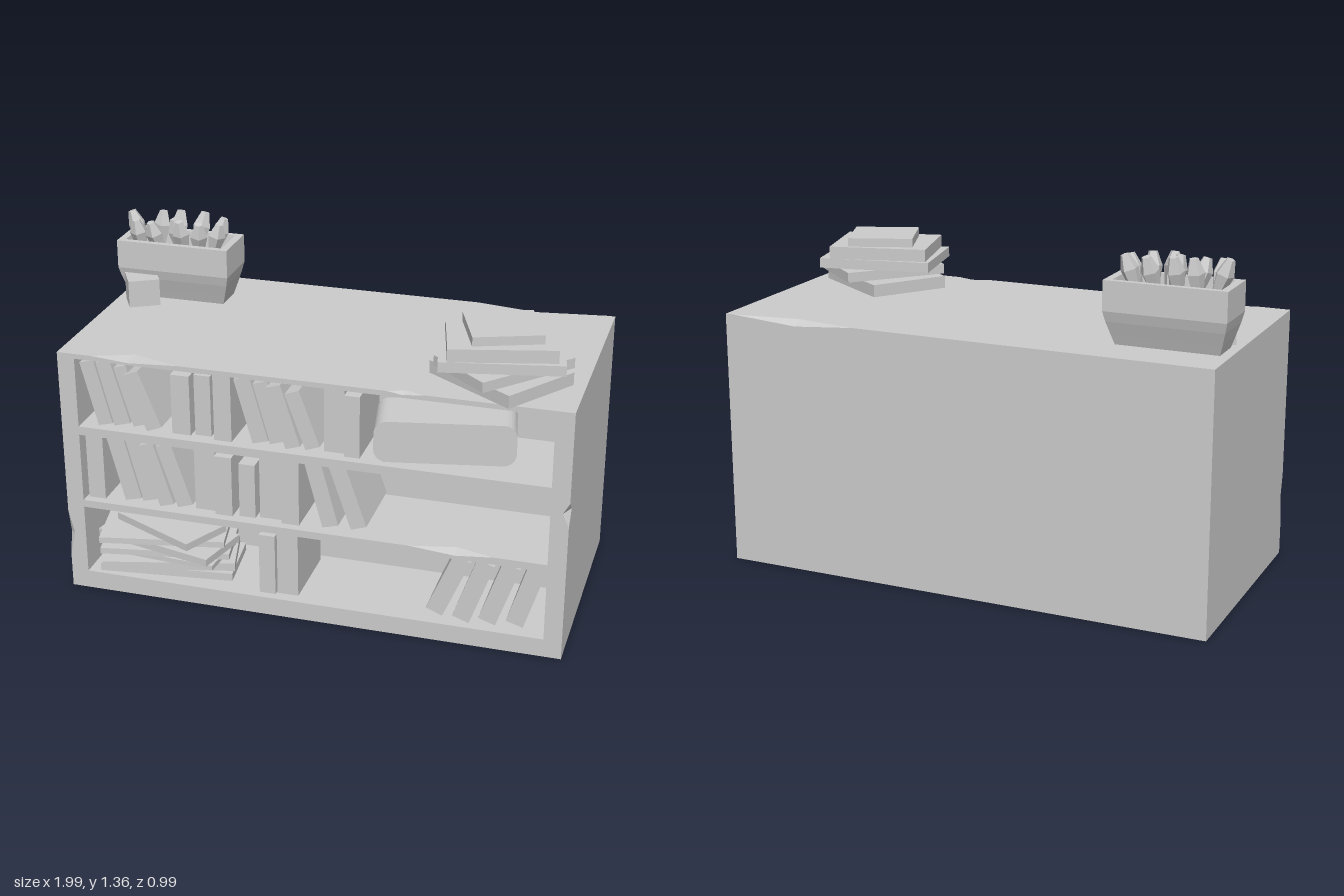
import * as THREE from 'three';

const mat = new THREE.MeshStandardMaterial({ color: 0xcccccc, flatShading: true });
const thin = new THREE.MeshStandardMaterial({ color: 0xcccccc, flatShading: true, side: THREE.DoubleSide });
const X0 = -0.99, X1 = 1, H = 1.02, Z0 = -0.5, Z1 = 0.46, BACK = 0.08;
const IN0 = -0.92, IN1 = 0.93;

export function createModel() {
  const root = new THREE.Group();
  const group = (name) => {
    const g = new THREE.Group();
    g.name = name;
    root.add(g);
    return g;
  };
  const add = (parent, name, geo, material = mat) => {
    const m = new THREE.Mesh(geo, material);
    m.name = name;
    parent.add(m);
    return m;
  };
  const path = (pts) => pts.map(([x, y]) => new THREE.Vector2(x, y));
  // Flat panel drawn in its own plane, then turned and moved into place
  const panel = (parent, name, pts, holes, rx, ry, pos) => {
    const shape = new THREE.Shape(path(pts));
    holes.forEach((h) => shape.holes.push(new THREE.Path(path(h))));
    const m = add(parent, name, new THREE.ShapeGeometry(shape), thin);
    m.rotation.set(rx, ry, 0);
    m.position.set(...pos);
  };
  const rect = (a, b, c, d) => [[a, b], [c, b], [c, d], [a, d]];
  // Chipped edge: two facets between edge points a, b and inset points c, d
  const chip = (parent, a, b, c, d) => {
    const g = new THREE.BufferGeometry();
    g.setAttribute('position', new THREE.Float32BufferAttribute([a, c, d, b, d, c].flat(), 3));
    g.computeVertexNormals();
    add(parent, 'chip', g, thin);
  };

  // Outer cabinet with chipped edges
  const cab = group('cabinet');
  const bays = [[0.075, 0.365], [0.395, 0.68], [0.715, 1.0]];
  const holes = bays.map(([y0, y1]) => rect(IN0, y0, IN1, y1));
  const shelfChip = [[0.4, 0.395], [0.58, 0.38], [0.73, 0.395]];
  holes[1].splice(1, 0, ...shelfChip);
  panel(cab, 'frontFrame', [
    [X0, 0], [X1, 0], [X1, 0.56], [0.975, 0.615], [X1, 0.66], [X1, H],
    [0.45, H], [0.37, 1.011], [0.31, H], [-0.5, H], [-0.7, 1.008], [-0.85, H],
    [X0, H], [X0, 0.34], [-0.967, 0.24], [X0, 0.14],
  ], holes, 0, 0, [0, 0, Z1]);
  panel(cab, 'top', [
    [X0, -Z1], [-0.85, -Z1], [-0.69, -0.4], [-0.5, -Z1], [0.31, -Z1], [0.38, -0.435], [0.45, -Z1],
    [X1, -Z1], [X1, -Z0], [0.97, -Z0], [0.69, 0.46], [0.44, -Z0], [X0, -Z0],
  ], [], -Math.PI / 2, 0, [0, H, 0]);
  panel(cab, 'rightFace', [[-Z1, 0], [-Z0, 0], [-Z0, H], [-Z1, H], [-Z1, 0.66], [-0.415, 0.62], [-Z1, 0.56]],
    [], 0, Math.PI / 2, [X1, 0, 0]);
  panel(cab, 'leftFace', [[Z0, 0], [Z1, 0], [Z1, 0.14], [0.44, 0.24], [Z1, 0.34], [Z1, H], [Z0, H]],
    [], 0, -Math.PI / 2, [X0, 0, 0]);
  panel(cab, 'back', [[-X1, 0], [-X0, 0], [-X0, H], [-0.44, H], [-0.69, 1.0], [-0.97, H], [-X1, H]],
    [], 0, Math.PI, [0, 0, Z0]);
  panel(cab, 'base', rect(X0, Z0, X1, Z1), [], Math.PI / 2, 0, [0, 0, 0]);
  chip(cab, [-0.85, H, Z1], [-0.5, H, Z1], [-0.69, H, 0.4], [-0.7, 1.008, Z1]);
  chip(cab, [0.31, H, Z1], [0.45, H, Z1], [0.38, H, 0.435], [0.37, 1.011, Z1]);
  chip(cab, [0.44, H, Z0], [0.97, H, Z0], [0.69, H, -0.46], [0.69, 1.0, Z0]);
  chip(cab, [X1, 0.56, Z1], [X1, 0.66, Z1], [X1, 0.62, 0.415], [0.975, 0.615, Z1]);
  chip(cab, [X0, 0.14, Z1], [X0, 0.34, Z1], [X0, 0.24, 0.44], [-0.967, 0.24, Z1]);
  chip(cab, [0.4, 0.395, Z1], [0.73, 0.395, Z1], [0.58, 0.395, 0.42], [0.58, 0.38, Z1]);

  // Inside faces of the three shelf bays
  bays.forEach(([y0, y1], i) => {
    const floor = rect(IN0, -Z1, IN1, -BACK);
    if (i === 1) floor.splice(1, 0, [0.4, -Z1], [0.58, -0.42], [0.73, -Z1]);
    panel(cab, 'bayFloor', floor, [], -Math.PI / 2, 0, [0, y0, 0]);
    panel(cab, 'bayCeiling', rect(IN0, BACK, IN1, Z1), [], Math.PI / 2, 0, [0, y1, 0]);
    panel(cab, 'bayBack', rect(IN0, y0, IN1, y1), [], 0, 0, [0, 0, BACK]);
    panel(cab, 'bayLeft', rect(-Z1, y0, -BACK, y1), [], 0, Math.PI / 2, [IN0, 0, 0]);
    panel(cab, 'bayRight', rect(BACK, y0, Z1, y1), [], 0, -Math.PI / 2, [IN1, 0, 0]);
  });

  // Shelved books: [x of the corner on the shelf, width, height, lean]
  const rows = [
    [[-0.205, 0.065, 0.255, 0], [-0.135, 0.085, 0.285, 0], [0.525, 0.07, 0.27, -0.4], [0.635, 0.07, 0.275, -0.34],
      [0.735, 0.07, 0.27, -0.33], [0.84, 0.07, 0.275, -0.3]],
    [[-0.91, 0.07, 0.28, 0], [-0.76, 0.07, 0.275, 0.25], [-0.69, 0.07, 0.27, 0.27], [-0.61, 0.06, 0.265, 0.3],
      [-0.54, 0.065, 0.265, 0.32], [-0.47, 0.085, 0.28, 0], [-0.38, 0.07, 0.25, 0], [-0.285, 0.065, 0.225, 0],
      [-0.205, 0.09, 0.255, 0], [-0.11, 0.07, 0.28, 0], [0.05, 0.065, 0.28, 0.26], [0.16, 0.065, 0.28, 0.33]],
    [[-0.85, 0.06, 0.265, 0.25], [-0.79, 0.07, 0.265, 0.28], [-0.715, 0.055, 0.25, 0.3], [-0.65, 0.065, 0.24, 0.38],
      [-0.55, 0.075, 0.245, 0], [-0.46, 0.065, 0.25, 0], [-0.375, 0.07, 0.275, 0], [-0.225, 0.065, 0.265, 0.27],
      [-0.16, 0.07, 0.25, 0.3], [-0.09, 0.06, 0.255, 0.3], [-0.015, 0.06, 0.235, 0.35], [0.055, 0.08, 0.28, 0],
      [0.14, 0.06, 0.25, 0]],
  ];
  const books = group('shelvedBooks');
  rows.forEach((row, r) => row.forEach(([x, w, h, lean], i) => {
    const depth = 0.28 + 0.02 * (i % 2);
    const geo = new THREE.BoxGeometry(w, h, depth).translate(lean < 0 ? -w / 2 : w / 2, h / 2, -depth / 2);
    const b = add(books, 'book', geo);
    b.position.set(x, bays[r][0], 0.425 - 0.012 * (i % 3));
    b.rotation.z = lean;
  }));

  // Rounded case lying on the upper shelf
  const w = 0.53, h = 0.165, r = 0.05, s = new THREE.Shape();
  [[w - r, r, -Math.PI / 2], [w - r, h - r, 0], [r, h - r, Math.PI / 2], [r, r, Math.PI]]
    .forEach(([x, y, a]) => s.absarc(x, y, r, a, a + Math.PI / 2, false));
  const box = add(root, 'roundedCase', new THREE.ExtrudeGeometry(s, { depth: 0.22, bevelEnabled: false, curveSegments: 4 })
    .translate(0, 0, -0.22));
  box.position.set(0.255, 0.715, 0.435);
  box.rotation.y = 0.2;

  // Loose piles of books: [x, z, bottom, thickness, width, depth, turn]
  const pile = (name, list) => {
    const g = group(name);
    list.forEach(([x, z, y, t, bw, bd, turn]) => {
      const b = add(g, 'book', new THREE.BoxGeometry(bw, t, bd));
      b.position.set(x, y + t / 2, z);
      b.rotation.y = turn;
    });
  };
  pile('lowerPile', [
    [-0.62, 0.28, 0.075, 0.032, 0.54, 0.26, 0.12], [-0.62, 0.3, 0.107, 0.033, 0.53, 0.24, 0.25],
    [-0.62, 0.28, 0.14, 0.02, 0.46, 0.26, -0.08], [-0.63, 0.29, 0.16, 0.025, 0.52, 0.24, 0.18],
    [-0.63, 0.3, 0.185, 0.03, 0.52, 0.24, -0.24], [-0.64, 0.3, 0.215, 0.025, 0.5, 0.24, 0.2],
    [-0.62, 0.29, 0.24, 0.03, 0.4, 0.22, -0.45],
  ]);
  pile('upperPile', [
    [0.685, 0.235, 1.02, 0.05, 0.42, 0.33, -0.6], [0.695, 0.235, 1.07, 0.04, 0.42, 0.3, 0.85],
    [0.685, 0.235, 1.11, 0.04, 0.46, 0.34, 0.2], [0.68, 0.235, 1.15, 0.05, 0.4, 0.32, 0.25],
    [0.685, 0.225, 1.2, 0.035, 0.265, 0.25, 0.36],
  ]);

  // Tapered hollow planter, lofted from rectangles: [y, half width, half depth]
  const rings = [[1.02, 0.2, 0.064], [1.06, 0.212, 0.078], [1.11, 0.226, 0.096], [1.15, 0.235, 0.107],
    [1.265, 0.235, 0.107], [1.265, 0.205, 0.082], [1.2, 0.195, 0.075]];
  const pos = [], idx = [];
  rings.forEach(([y, a, b], k) => {
    pos.push(-a, y, b, a, y, b, a, y, -b, -a, y, -b);
    for (let i = 0; i < 4 && k > 0; i++) {
      const p = (k - 1) * 4 + i, q = (k - 1) * 4 + ((i + 1) % 4);
      idx.push(p, q, q + 4, p, q + 4, p + 4);
    }
  });
  const n = (rings.length - 1) * 4;
  idx.push(0, 2, 1, 0, 3, 2, n, n + 1, n + 2, n, n + 2, n + 3);
  const loft = new THREE.BufferGeometry();
  loft.setAttribute('position', new THREE.Float32BufferAttribute(pos, 3));
  loft.setIndex(idx);
  loft.computeVertexNormals();
  add(root, 'planter', loft).position.set(-0.75, 0, -0.255);

  // Chunky five-sided leaves: [x, z, height, lean along x, lean along z]
  const leafGeo = new THREE.LatheGeometry(path([[0, 0], [0.016, 0], [0.036, 0.65], [0.017, 1], [0, 1]]), 5);
  const leaves = group('leaves');
  [[-0.9, -0.26, 0.17, 0.36, 0], [-0.9, -0.22, 0.15, 0.1, 0.2], [-0.85, -0.28, 0.16, -0.1, -0.1],
    [-0.82, -0.22, 0.15, 0.2, 0.25], [-0.78, -0.28, 0.165, -0.1, -0.2], [-0.74, -0.24, 0.155, 0.15, 0.1],
    [-0.7, -0.29, 0.165, -0.2, -0.25], [-0.72, -0.22, 0.16, 0.05, 0.22], [-0.66, -0.22, 0.155, -0.1, 0.2],
    [-0.62, -0.27, 0.16, -0.3, -0.15], [-0.61, -0.24, 0.15, -0.25, 0.05]]
    .forEach(([x, z, len, lx, lz], i) => {
      const leaf = add(leaves, 'leaf', leafGeo);
      leaf.position.set(x, 1.2, z);
      leaf.scale.y = len;
      leaf.rotation.set(lz, i * 1.3, lx, 'XZY');
    });

  // Small block beside the planter
  const block = add(root, 'smallBlock', new THREE.BoxGeometry(0.125, 0.11, 0.115));
  block.position.set(-0.875, 1.075, -0.13);
  block.rotation.y = 0.51;

  return root;
}
